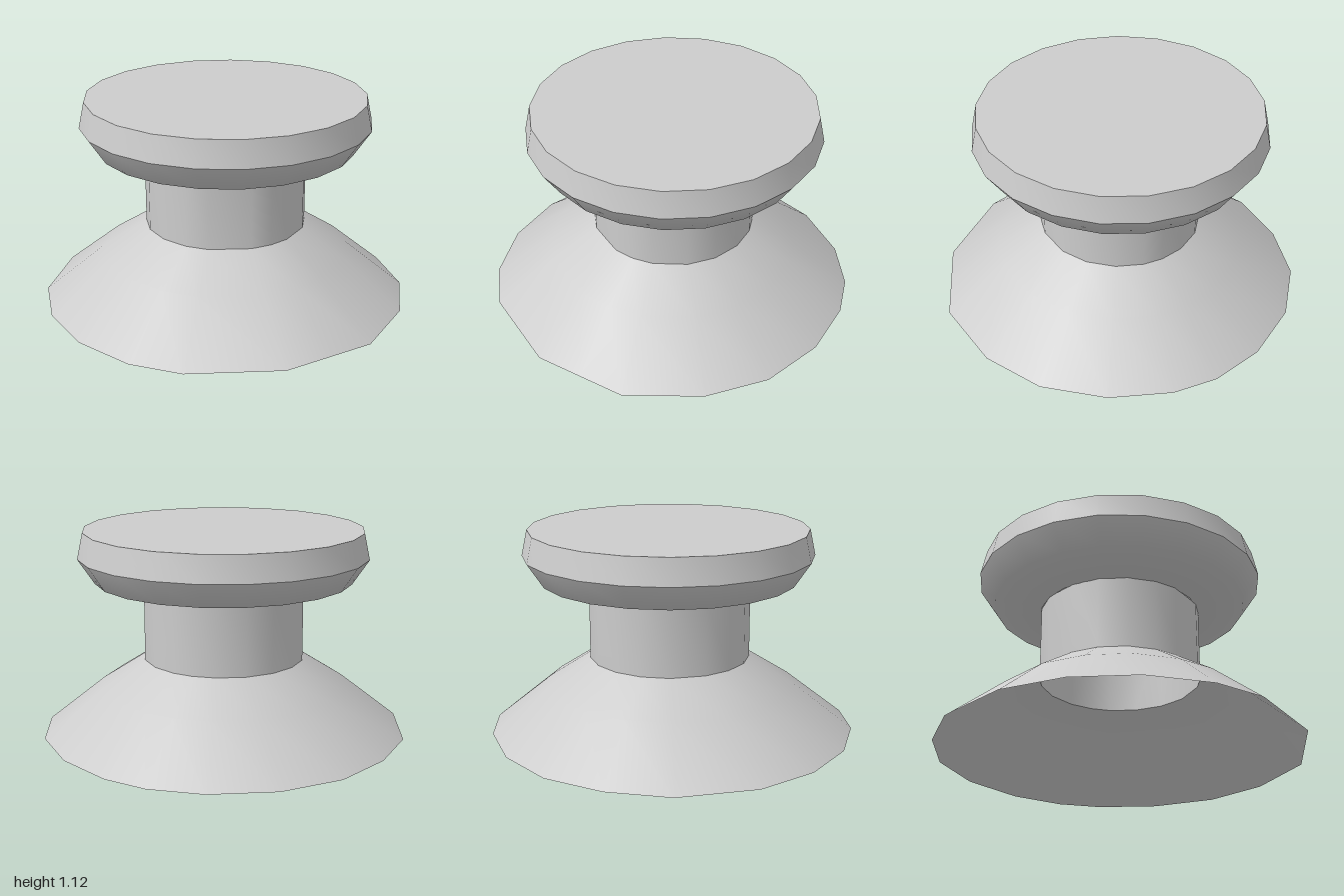
import * as THREE from 'three';

// Uneven foot outline, x and z pairs running clockwise seen from above
const footOutline = [
  [-0.07, -1], [0.23, -0.98], [0.46, -0.89], [0.73, -0.68], [0.93, -0.38], [1, -0.03],
  [0.93, 0.39], [0.765, 0.59], [0.6, 0.79], [0.13, 0.99], [-0.16, 0.99], [-0.49, 0.87],
  [-0.76, 0.65], [-0.94, 0.35], [-1, -0.08], [-0.9, -0.42], [-0.71, -0.71], [-0.42, -0.91],
];

// The same directions on a circle of the given radius
const roundOutline = (r, cz) => footOutline.map(([x, z]) => {
  const d = Math.hypot(x, z);
  return [x / d * r, z / d * r + cz];
});

// Regular outline for the head, starting at the back
const headOutline = (r, sides = 21) => Array.from({ length: sides }, (_, i) => {
  const a = i / sides * Math.PI * 2;
  return [Math.sin(a) * r, -Math.cos(a) * r - 0.02];
});

// Smooth skin through rings of { y, points }, listed from outer bottom to top
function loft(name, rings, material) {
  const n = rings[0].points.length;
  const positions = [], index = [];
  for (const { y, points } of rings) {
    for (const [x, z] of points) positions.push(x, y, z);
  }
  for (let k = 0; k < rings.length - 1; k++) {
    for (let i = 0; i < n; i++) {
      const j = (i + 1) % n;
      const a = k * n + i, b = k * n + j;
      index.push(a, a + n, b + n, a, b + n, b);
    }
  }
  const geometry = new THREE.BufferGeometry();
  geometry.setAttribute('position', new THREE.Float32BufferAttribute(positions, 3));
  geometry.setIndex(index);
  geometry.computeVertexNormals();
  const mesh = new THREE.Mesh(geometry, material);
  mesh.name = name;
  return mesh;
}

export function createModel() {
  const grey = new THREE.MeshStandardMaterial({ color: 0xcccccc, side: THREE.DoubleSide });
  grey.name = 'light grey';

  const group = new THREE.Group();
  group.name = 'flaredKnob';
  const neck = roundOutline(0.44, -0.015);
  const head = (r, y) => ({ y, points: headOutline(r) });

  group.add(
    // Hollow flared foot, open below
    loft('flaredFoot', [
      { y: 0, points: footOutline },
      { y: 0.26, points: roundOutline(0.68, -0.01) },
      { y: 0.415, points: neck },
    ], grey),
    // Open tube between foot and head
    loft('neck', [{ y: 0.415, points: neck }, { y: 0.815, points: neck }], grey),
    // Head: rounded underside, tapered rim and flat top
    loft('headUnderside', [head(0.44, 0.812), head(0.7, 0.85), head(0.79, 0.985)], grey),
    loft('headRim', [head(0.79, 0.985), head(0.76, 1.125)], grey),
    loft('headTop', [head(0.76, 1.125), head(0, 1.125)], grey),
  );
  return group;
}
